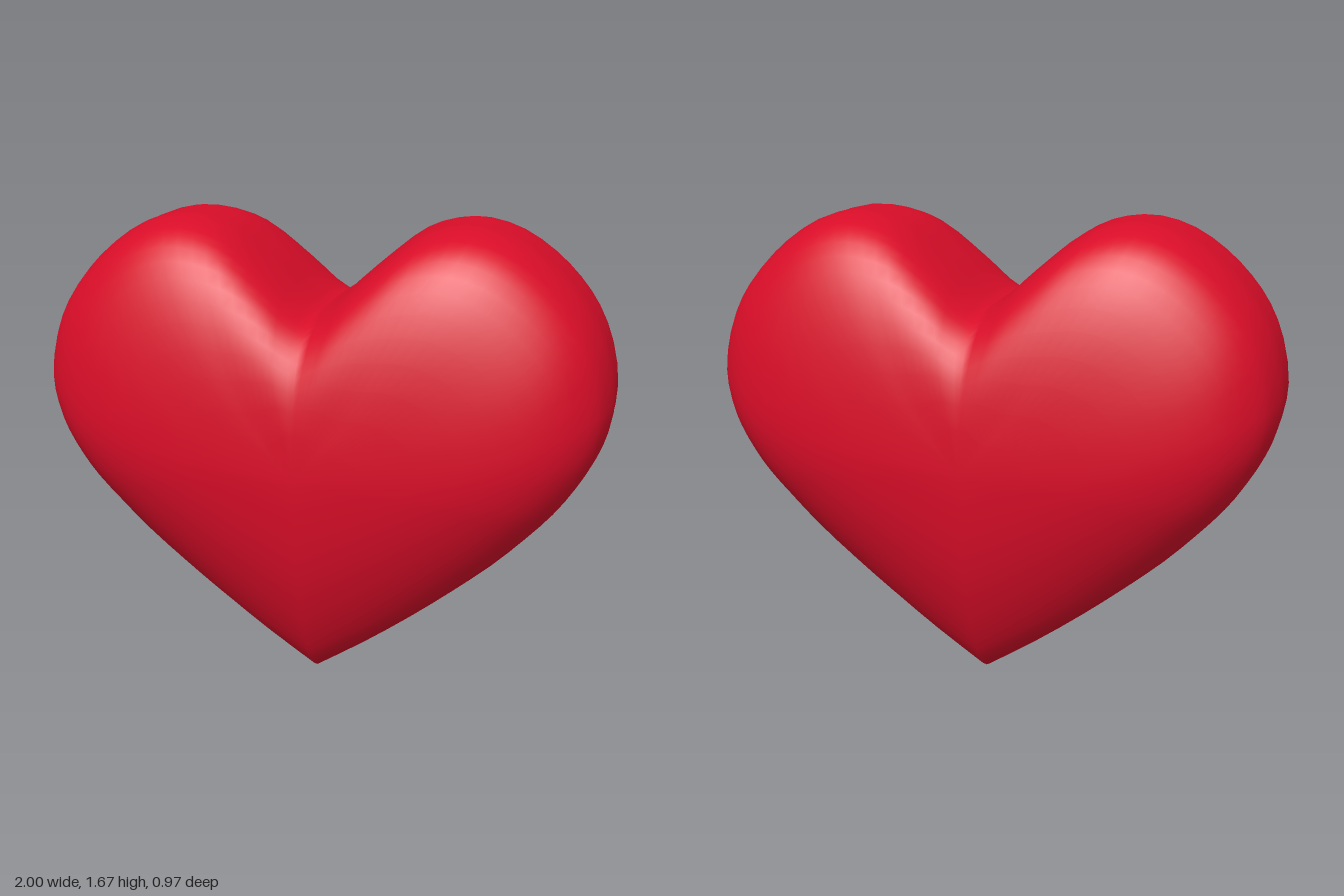
import * as THREE from 'three';
import { mergeVertices } from 'three/addons/utils/BufferGeometryUtils.js';

const MID = 0.87; // height of the fullest point of the front and back

// Right half of the outline, from the notch round to the bottom tip
const HALF = [
  [0, 1.375], [0.07, 1.42], [0.13, 1.475], [0.22, 1.555], [0.32, 1.63], [0.42, 1.665],
  [0.53, 1.67], [0.65, 1.635], [0.76, 1.565], [0.85, 1.48], [0.92, 1.385], [0.97, 1.27],
  [0.997, 1.12], [0.985, 1.01], [0.955, 0.92], [0.9, 0.815], [0.84, 0.725], [0.75, 0.62],
  [0.64, 0.505], [0.5, 0.38], [0.35, 0.255], [0.18, 0.125], [0, 0],
];

// Depth, then the shrink of the width, the lobes and the lower tip at that depth
const LEVELS = [
  [0, 1, 1, 1], [0.1, 1, 1, 0.995], [0.19, 0.985, 0.98, 0.965], [0.27, 0.96, 0.94, 0.89],
  [0.34, 0.9, 0.85, 0.75], [0.395, 0.81, 0.71, 0.595], [0.44, 0.66, 0.52, 0.42],
  [0.47, 0.42, 0.28, 0.22], [0.485, 0, 0, 0],
];

function makeOutline() {
  const curve = new THREE.CatmullRomCurve3(HALF.map(([x, y]) => new THREE.Vector3(x, y, 0)));
  const right = curve.getPoints((HALF.length - 1) * 2);
  const left = right.slice(1, -1).reverse().map((p) => new THREE.Vector3(-p.x, p.y, 0));
  return [...right, ...left];
}

// Smooth run of cross-sections from back to front
function makeSections() {
  const all = [
    ...LEVELS.slice(1).reverse().map(([z, ...s]) => [-z, ...s]),
    ...LEVELS,
  ];
  const spline = (pts) => new THREE.CatmullRomCurve3(pts, false, 'catmullrom', 0.5);
  const depth = spline(all.map((l) => new THREE.Vector3(l[0], 0, 0)));
  const shrink = spline(all.map((l) => new THREE.Vector3(l[1], l[2], l[3])));
  const n = (all.length - 1) * 2;
  return Array.from({ length: n + 1 }, (_, i) => ({
    z: depth.getPoint(i / n).x,
    s: shrink.getPoint(i / n),
  }));
}

function heartGeometry() {
  const outline = makeOutline();
  const sections = makeSections();
  const count = outline.length;
  const positions = [];
  const indices = [];

  for (const { z, s } of sections) {
    for (const p of outline) {
      // The notch shrinks more slowly than the lobes, so the cleft fades out
      const slow = THREE.MathUtils.lerp(0.6, 1, THREE.MathUtils.smoothstep(Math.abs(p.x), 0, 0.42));
      const top = Math.pow(Math.max(s.y, 0), slow);
      const sy = THREE.MathUtils.lerp(s.z, top, THREE.MathUtils.smoothstep(p.y, 0.5, 1.3));
      positions.push(p.x * s.x, MID + (p.y - MID) * sy, z);
    }
  }

  for (let i = 0; i < sections.length - 1; i++) {
    for (let j = 0; j < count; j++) {
      const a = i * count + j;
      const b = i * count + ((j + 1) % count);
      const c = a + count;
      const d = b + count;
      if (i > 0) indices.push(a, c, b); // first section is a single point
      if (i < sections.length - 2) indices.push(b, c, d); // so is the last
      else if (i === 0) indices.push(b, c, d);
    }
  }

  let geometry = new THREE.BufferGeometry();
  geometry.setAttribute('position', new THREE.Float32BufferAttribute(positions, 3));
  geometry.setIndex(indices);
  geometry = mergeVertices(geometry, 1e-5);
  geometry.computeVertexNormals();
  return geometry;
}

export function createModel() {
  const group = new THREE.Group();
  group.name = 'heart';
  const body = new THREE.Mesh(
    heartGeometry(),
    new THREE.MeshStandardMaterial({ color: 0xd90d28 }),
  );
  body.name = 'heartBody';
  group.add(body);
  return group;
}
